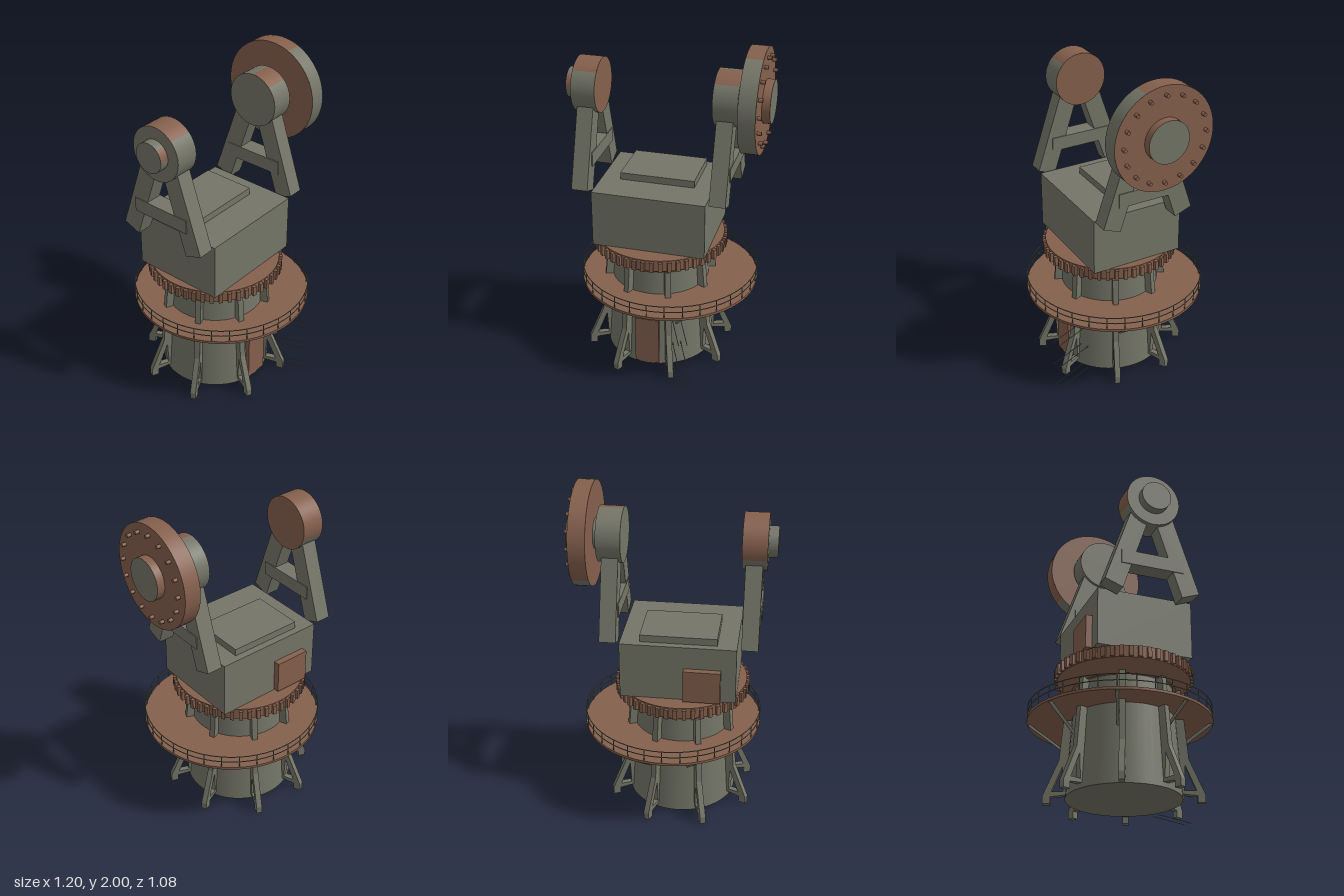
import * as THREE from 'three';

const mat = (name, color, side = THREE.FrontSide) => {
  const m = new THREE.MeshStandardMaterial({ color, side });
  m.name = name;
  return m;
};

export function createModel() {
  const root = new THREE.Group();
  root.name = 'gunMountTower';
  const grey = mat('olive grey paint', 0x757668);
  const rust = mat('rust brown paint', 0x85604d);
  const CX = -0.06; // tower axis; the platform is centred on x = 0
  const AXLE_Y = 1.695;

  const add = (name, geo, material, x = 0, y = 0, z = 0, parent = root) => {
    const m = new THREE.Mesh(geo, material);
    m.name = name;
    m.position.set(x, y, z);
    parent.add(m);
    return m;
  };
  // box given by its minimum and maximum corners
  const box = (name, material, x0, x1, y0, y1, z0, z1) =>
    add(name, new THREE.BoxGeometry(x1 - x0, y1 - y0, z1 - z0), material,
      (x0 + x1) / 2, (y0 + y1) / 2, (z0 + z1) / 2);
  // thin rod between two points
  const rod = (name, a, b, r, material, sides = 6) => {
    const d = b.clone().sub(a);
    const m = add(name, new THREE.CylinderGeometry(r, r, d.length(), sides), material);
    m.position.copy(a).addScaledVector(d, 0.5);
    m.quaternion.setFromUnitVectors(new THREE.Vector3(0, 1, 0), d.normalize());
    return m;
  };
  const polar = (r, a, y, cx = 0) =>
    new THREE.Vector3(cx + r * Math.sin(a), y, r * Math.cos(a));

  // Tower body and its entrance door
  add('towerBody', new THREE.CylinderGeometry(0.285, 0.33, 0.66, 48), grey, CX, 0.35, 0);
  box('towerDoor', rust, -0.132, 0.014, 0.03, 0.34, 0.27, 0.333);

  // Eight buttress fins with a triangular opening at the foot
  const fin = new THREE.Shape();
  [[0.32, 0.05], [0.41, 0.04], [0.41, 0], [0.455, 0], [0.455, 0.045], [0.367, 0.25],
    [0.328, 0.67], [0.27, 0.67], [0.31, 0.2]]
    .forEach(([x, y], i) => (i ? fin.lineTo(x, y) : fin.moveTo(x, y)));
  const gap = new THREE.Path();
  [[0.338, 0.07], [0.345, 0.215], [0.405, 0.07]]
    .forEach(([x, y], i) => (i ? gap.lineTo(x, y) : gap.moveTo(x, y)));
  fin.holes.push(gap);
  const finGeo = new THREE.ExtrudeGeometry(fin, { depth: 0.034, bevelEnabled: false });
  finGeo.translate(0, 0, -0.017);
  for (let i = 0; i < 8; i++) {
    const a = Math.PI / 8 + (i * Math.PI) / 4;
    add('buttressFin', finGeo, grey, CX).rotation.y = a;
    // platform brace at the same bearing
    rod('platformBrace', polar(0.29, a, 0.305), polar(0.53, a, 0.492), 0.01, grey, 4);
  }

  // Round walkway with railing
  add('walkway', new THREE.CylinderGeometry(0.54, 0.54, 0.016, 64), rust, 0, 0.498, 0);
  for (const y of [0.545, 0.582]) {
    const ring = new THREE.TorusGeometry(0.536, 0.003, 5, 64);
    ring.rotateX(Math.PI / 2);
    add('railing', ring, grey, 0, y, 0);
  }
  for (let i = 0; i < 32; i++) {
    const a = (i * Math.PI) / 16;
    rod('railingPost', polar(0.536, a, 0.5), polar(0.536, a, 0.583), 0.003, grey, 5);
  }

  // Paired thin rods standing out from the tower
  for (const y of [0.005, 0.165, 0.325])
    for (const s of [-0.025, 0.025]) {
      const a = Math.PI / 8;
      const off = new THREE.Vector3(Math.cos(a) * s, 0, -Math.sin(a) * s);
      rod('ladderBracket', polar(0.29, a, y).add(off), polar(0.556, a, y).add(off), 0.0025, grey, 5);
    }

  // Slewing ring: cone, drum and teeth
  add('ringCone', new THREE.CylinderGeometry(0.39, 0.305, 0.06, 48), rust, CX, 0.692, 0);
  add('ringDrum', new THREE.CylinderGeometry(0.39, 0.39, 0.07, 48), rust, CX, 0.757, 0);
  const tooth = new THREE.BoxGeometry(0.024, 0.062, 0.03);
  for (let i = 0; i < 48; i++) {
    const a = (i * Math.PI) / 24;
    const p = polar(0.393, a, 0.754, CX);
    add('ringTooth', tooth, rust, p.x, p.y, p.z).rotation.y = a;
  }

  // Machinery housing, roof hatch and rear panel
  box('housing', grey, -0.40, 0.28, 0.79, 1.137, -0.287, 0.287);
  box('roofHatch', grey, -0.285, 0.166, 1.13, 1.18, -0.245, 0.08);
  box('rearPanel', rust, -0.312, -0.095, 0.80, 1.0, -0.325, -0.28);

  // Two A-frames: a pair of leaning legs and a crossbar
  const leg = new THREE.Shape();
  [[0.287, 1.14], [0.13, 1.605], [0.01, 1.605], [0.18, 1.10]]
    .forEach(([x, y], i) => (i ? leg.lineTo(x, y) : leg.moveTo(x, y)));
  const legGeo = new THREE.ExtrudeGeometry(leg, { depth: 0.097, bevelEnabled: false });
  legGeo.translate(0, 0, -0.0485);
  for (const x of [-0.4715, 0.3475]) {
    for (const s of [-1, 1]) add('frameLeg', legGeo, grey, x).rotation.y = (s * Math.PI) / 2;
    box('frameCrossbar', grey, x - 0.054, x + 0.054, 1.255, 1.34, -0.19, 0.19);
  }

  // Cylinder along x. The arc from..to (degrees up from the front) is rust, the rest grey.
  const deg = Math.PI / 180;
  const drum = (name, x0, x1, r, from, to, endPlus, endMinus) => {
    const g = new THREE.Group();
    g.name = name;
    g.position.set((x0 + x1) / 2, AXLE_Y, 0);
    root.add(g);
    const arc = (a, b, m) => {
      if (b - a < 1) return;
      const c = new THREE.CylinderGeometry(r, r, x1 - x0, Math.max(4, Math.round((b - a) / 6)),
        1, true, -b * deg, (b - a) * deg);
      c.rotateZ(-Math.PI / 2);
      add(name + 'Rim', c, m, 0, 0, 0, g);
    };
    arc(from, to, rust);
    arc(to, from + 360, grey);
    [[1, endPlus], [-1, endMinus]].forEach(([s, m]) => {
      const c = new THREE.CircleGeometry(r, 60);
      c.rotateY((s * Math.PI) / 2);
      add(name + 'Face', c, m, (s * (x1 - x0)) / 2, 0, 0, g);
    });
  };
  drum('rightHub', -0.545, -0.402, 0.163, 45, 200, rust, grey);
  drum('rightAxleStub', -0.60, -0.54, 0.09, 0, 50, grey, grey);
  drum('leftHub', 0.28, 0.423, 0.163, 45, 92, grey, grey);
  drum('leftAxle', 0.42, 0.452, 0.09, 0, 100, grey, grey);
  drum('flange', 0.45, 0.55, 0.306, 67, 220, rust, rust);
  drum('flangeBoss', 0.548, 0.597, 0.125, 0, 360, grey, grey);

  // Flange bolts
  const bolt = new THREE.CylinderGeometry(0.011, 0.011, 0.03, 10);
  bolt.rotateZ(Math.PI / 2);
  for (let i = 0; i < 16; i++) {
    const a = (i * Math.PI) / 8;
    add('flangeBolt', bolt, rust, 0.56, AXLE_Y + 0.254 * Math.sin(a), 0.254 * Math.cos(a));
  }
  return root;
}
